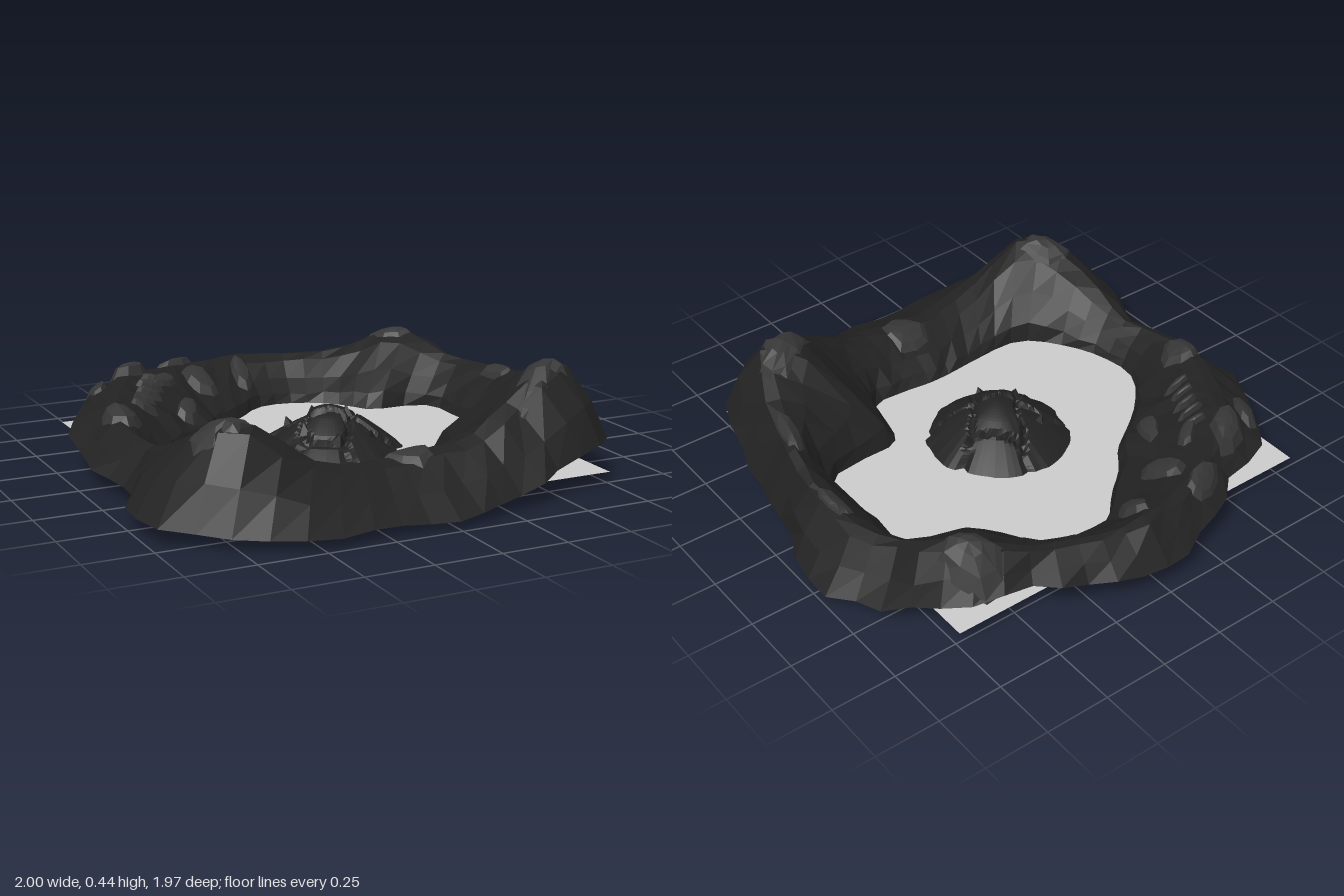
import * as THREE from 'three';

const WATER = 0.05;
const ISLAND_X = -.02, ISLAND_Z = .03;
// Rim measurements every 15 degrees, going from +x towards +z
const OUTER_R = [.95, .91, .97, 1.06, .98, .95, .97, .99, 1.12, 1.18, 1.16, .94, .94, .97, .98, 1, .93, .94, .98, .95, .95, 1.04, 1.02, 1.03];
const OUTER_Y = [.07, .07, .11, .16, .1, .05, .03, .04, .04, .05, .07, .06, .07, .11, .15, .17, .15, .12, .1, .12, .15, .14, .06, .03];
const CREST_R = [.82, .8, .82, .83, .75, .7, .66, .69, .8, .92, .88, .8, .8, .8, .8, .83, .82, .82, .82, .82, .82, .88, .86, .84];
const CREST_Y = [.25, .29, .32, .44, .32, .22, .19, .18, .22, .38, .28, .19, .2, .23, .24, .26, .24, .23, .23, .22, .24, .32, .24, .23];
const SHORE_R = [.64, .67, .42, .41, .52, .48, .45, .47, .54, .65, .67, .68, .67, .58, .5, .46, .49, .53, .63, .64, .6, .55, .71, .66];

// Smooth periodic lookup in a rim table
function sample(table, angle) {
  const n = table.length;
  const f = (angle / (Math.PI * 2)) * n;
  const i = Math.floor(f), t = f - i;
  const at = (k) => table[(((i + k) % n) + n) % n];
  const [a, b, c, d] = [at(-1), at(0), at(1), at(2)];
  return b + 0.5 * t * (c - a + t * (2 * a - 5 * b + 4 * c - d + t * (3 * (b - c) + d - a)));
}

// Repeatable value from -1 to 1
function noise(i, j) {
  const s = Math.sin(i * 127.1 + j * 311.7) * 43758.5453;
  return 2 * (s - Math.floor(s)) - 1;
}

// Cross-section of the rim as [radius, height], outside to inside
function section(a) {
  const ro = sample(OUTER_R, a), yo = sample(OUTER_Y, a);
  const rc = sample(CREST_R, a), yc = sample(CREST_Y, a), rs = sample(SHORE_R, a);
  const mix = THREE.MathUtils.lerp;
  return [
    [ro, yo],
    [mix(ro, rc, .35), mix(yo, yc, .46)],
    [mix(ro, rc, .75), mix(yo, yc, .92)],
    [rc, yc],
    [mix(rc, rs, .25), mix(yc, WATER, .14)],
    [mix(rc, rs, .6), mix(yc, WATER, .47)],
    [mix(rc, rs, .9), mix(yc, WATER, .77)],
    [rs, WATER],
    [mix(rs, .29, .14), .016],
    [mix(rs, .29, .7), 0],
    [.275, WATER - .01],
  ];
}

// Height of the rim surface above a point
function groundHeight(x, z) {
  const r = Math.hypot(x, z), s = section(Math.atan2(z, x));
  for (let i = 0; i < s.length - 1; i++) {
    const [r0, y0] = s[i], [r1, y1] = s[i + 1];
    if (r <= r0 && r >= r1) return y0 + (y1 - y0) * (r0 - r) / (r0 - r1 || 1);
  }
  return WATER;
}

// Closed polar surface; point(row, column) returns [x, y, z]
function polarSurface(rows, cols, point) {
  const pos = [], index = [];
  for (let j = 0; j < rows; j++) for (let i = 0; i < cols; i++) pos.push(...point(j, i));
  for (let j = 0; j < rows - 1; j++) {
    for (let i = 0; i < cols; i++) {
      const n = (i + 1) % cols;
      const a = j * cols + i, b = j * cols + n, c = a + cols, d = b + cols;
      index.push(a, c, b, b, c, d);
    }
  }
  const g = new THREE.BufferGeometry();
  g.setAttribute('position', new THREE.Float32BufferAttribute(pos, 3));
  g.setIndex(index);
  g.computeVertexNormals();
  return g;
}

function add(parent, name, geometry, material) {
  const mesh = new THREE.Mesh(geometry, material);
  mesh.name = name;
  parent.add(mesh);
  return mesh;
}

// Faceted rock cap that follows the rim and bulges out of it
function rockCap(x, z, length, width, turn, bulge, seed) {
  const c = Math.cos(turn), s = Math.sin(turn);
  return polarSurface(4, 8, (j, i) => {
    const t = 1 - j / 3, a = (i / 8) * Math.PI * 2;
    const k = t * (1 + .2 * noise(i, seed));
    const u = Math.cos(a) * length * k, v = Math.sin(a) * width * k;
    const px = x + u * c + v * s, pz = z - u * s + v * c;
    const lift = j === 0 ? -.012 : bulge * Math.sqrt(1 - t * t * .8);
    return [px, groundHeight(px, pz) + lift, pz];
  });
}

export function createModel() {
  const model = new THREE.Group();
  model.name = 'craterLake';
  const stone = new THREE.MeshStandardMaterial({ color: 0x222222, flatShading: true, side: THREE.DoubleSide });
  const paleStone = new THREE.MeshStandardMaterial({ color: 0x363636, flatShading: true });
  const grey = new THREE.MeshStandardMaterial({ color: 0xcccccc, side: THREE.DoubleSide });

  // Crater rim and lake bed in one open sheet; the bed ends around the island
  const COLS = 60;
  const rim = polarSurface(11, COLS, (j, i) => {
    const a = (i / COLS) * Math.PI * 2;
    let [r, y] = section(a)[j];
    if (j < 7) {
      r += noise(i, j) * (j === 0 ? .02 : .012);
      if (j !== 3) y += noise(j + 40, i) * .008;
    }
    const shift = j === 10 ? 1 : j === 9 ? .6 : 0;
    return [r * Math.cos(a) + shift * ISLAND_X, y, r * Math.sin(a) + shift * ISLAND_Z];
  });
  add(model, 'craterRim', rim, stone);

  // Flat sheet of water
  const water = add(model, 'water', new THREE.PlaneGeometry(1.55, 1.54), grey);
  water.rotation.x = -Math.PI / 2;
  water.position.set(-.035, WATER, .01);

  // Boulders and worn crests: x, z, length, width, turn, bulge
  const boulders = new THREE.Group();
  boulders.name = 'boulders';
  model.add(boulders);
  [
    [-.31, -.8, .11, .05, .4, .03], [-.56, -.65, .12, .06, .7, .04], [-.26, -.64, .07, .09, .2, .035],
    [-.05, -.73, .05, .08, 0, .03], [-.42, -.38, .05, .1, -.6, .03], [-.78, -.16, .09, .1, 0, .03],
    [-.45, -.56, .08, .035, .7, .03], [-.72, -.58, .04, .09, -.5, .02],
    [-.71, .6, .13, .11, .3, .012], [-.02, .65, .11, .12, 0, .02], [.58, .57, .21, .1, .65, .012],
    [.81, -.12, .05, .11, .1, .015], [.76, .26, .05, .13, -.2, .015], [.62, -.65, .1, .13, .5, .012],
  ].forEach(([x, z, length, width, turn, bulge], k) => {
    add(boulders, 'boulder', rockCap(x, z, length, width, turn, bulge, k), paleStone);
  });

  // Short row of stone ledges on the back slope
  for (let k = 0; k < 5; k++) {
    add(boulders, 'ledge', rockCap(-.64 + k * .035, -.3 - k * .06, .06, .018, -.15, .03, k + 20), paleStone);
  }

  // Island: a rough cone split into blocks by cracks
  const island = new THREE.Group();
  island.name = 'island';
  island.position.set(ISLAND_X, 0, ISLAND_Z);
  model.add(island);
  const blocks = [[-.1, -.16], [.16, -.17], [.19, .03], [.03, -.03], [-.2, .03], [-.06, .1], [-.12, .22], [.07, .2]];
  const domeHeight = (x, z) => .165 * (1 - Math.pow(Math.min(1, Math.hypot(x, z) / .275), 1.3));
  const ROWS = 24, SIDES = 64;
  const dome = polarSurface(ROWS, SIDES, (j, i) => {
    const a = (i / SIDES) * Math.PI * 2, t = 1 - j / (ROWS - 1);
    const x = .275 * t * Math.cos(a), z = .275 * t * Math.sin(a);
    // The wobble bends the cracks
    const wx = x + .02 * Math.sin(z * 31), wz = z + .02 * Math.sin(x * 27 + 1);
    const near = blocks.map(([bx, bz], k) => [Math.hypot(wx - bx, wz - bz), k]).sort((p, q) => p[0] - q[0]);
    const crack = Math.max(0, 1 - (near[1][0] - near[0][0]) / .028);
    const spread = 1 + (.05 * noise(near[0][1], 5) - .07 * crack + .025 * noise(i >> 1, 3)) * t;
    const lift = 1 + .12 * noise(near[0][1], 2) * Math.min(1, t * 3);
    return [x * spread, WATER - .01 + (domeHeight(x, z) + .01) * lift * (1 - .3 * crack), z * spread];
  });
  add(island, 'crackedDome', dome, stone);

  // Small pointed stones on the dome
  [[-.12, -.11], [-.01, -.12], [.06, .03], [-.04, .17], [.1, .15], [-.13, .06]].forEach(([x, z], k) => {
    const spike = add(island, 'spike', new THREE.ConeGeometry(.028, .045, 4), stone);
    spike.position.set(x, WATER + domeHeight(x, z) + .005, z);
    spike.rotation.set(z * 2, k, -x * 2);
  });
  return model;
}
